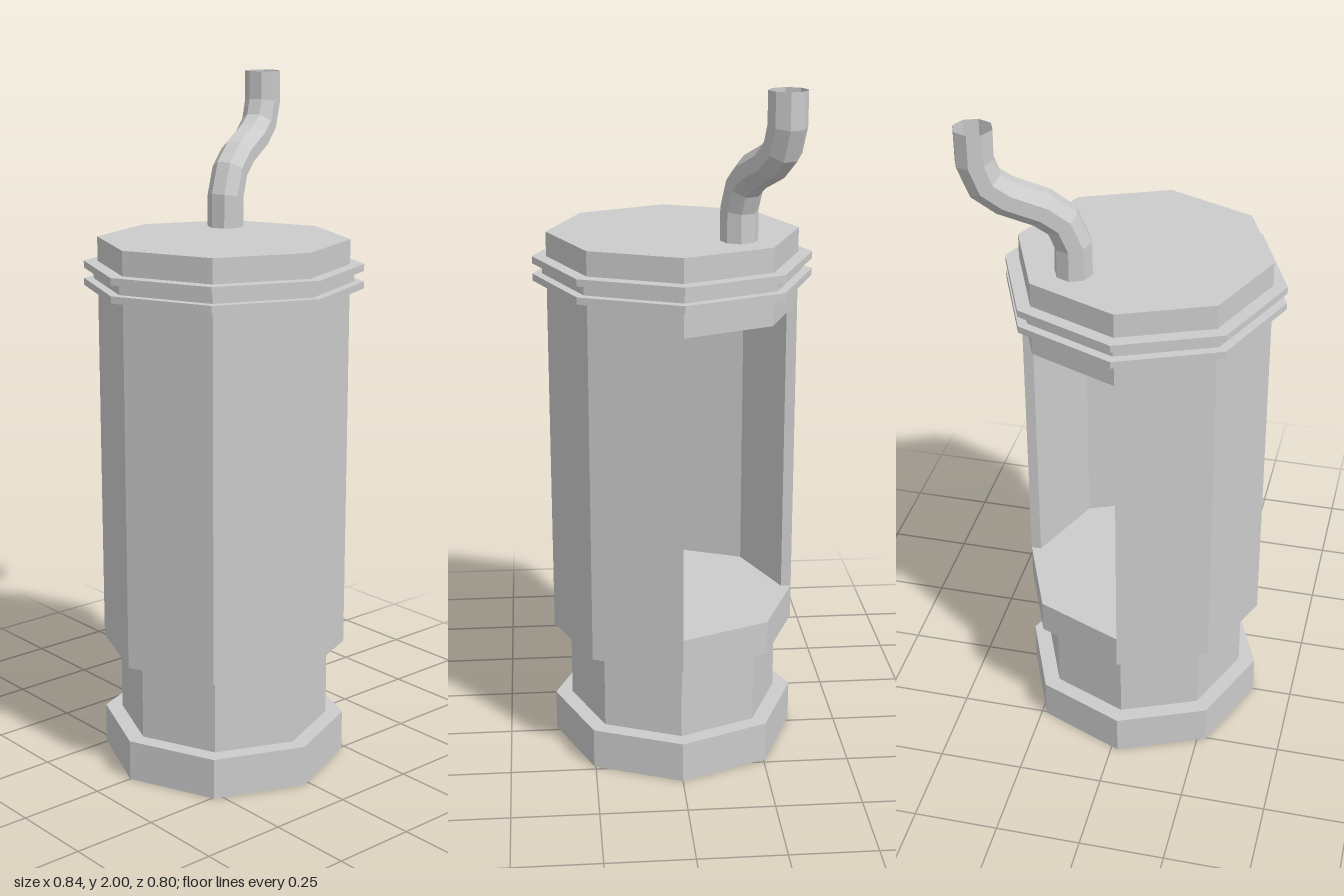
import * as THREE from 'three';

const SIDES = 8;
const material = new THREE.MeshStandardMaterial({ color: 0xcccccc, flatShading: true, side: THREE.DoubleSide });

function addPart(group, name, geometry) {
  const mesh = new THREE.Mesh(geometry, material);
  mesh.name = name;
  group.add(mesh);
  return mesh;
}

// Eight-sided turned shell from [radius, height] pairs, bottom to top
const turned = (profile) =>
  new THREE.LatheGeometry(profile.map(([r, y]) => new THREE.Vector2(r, y)), SIDES);

// Polyline path whose corners are mitred by averaging the neighbouring directions
class BentPath extends THREE.Curve {
  constructor(points) {
    super();
    this.points = points;
  }
  index(u) {
    return Math.round(u * (this.points.length - 1));
  }
  getPoint(u, target = new THREE.Vector3()) {
    return target.copy(this.points[this.index(u)]);
  }
  getPointAt(u, target) {
    return this.getPoint(u, target);
  }
  getTangentAt(u, target = new THREE.Vector3()) {
    const p = this.points, i = this.index(u), here = p[i];
    target.set(0, 0, 0);
    if (i > 0) target.add(here.clone().sub(p[i - 1]).normalize());
    if (i < p.length - 1) target.add(p[i + 1].clone().sub(here).normalize());
    return target.normalize();
  }
}

export function createModel() {
  const model = new THREE.Group();
  model.name = 'canister';

  const body = new THREE.Group();
  body.name = 'body';
  body.position.x = -0.02;
  model.add(body);

  // Hollow foot, neck and lower band, closed by the chamber floor
  addPart(body, 'base', turned([
    [0.36, 0], [0.36, 0.12], [0.31, 0.12], [0.31, 0.35],
    [0.36, 0.35], [0.36, 0.45], [0, 0.45],
  ]));

  // Chamber wall: three quarters of an octagonal ring, open at the back left
  const outer = [], inner = [];
  for (let i = 2; i <= SIDES; i++) {
    const a = (i / SIDES) * Math.PI * 2;
    outer.push(new THREE.Vector2(0.36 * Math.cos(a), 0.36 * Math.sin(a)));
    inner.unshift(new THREE.Vector2(0.33 * Math.cos(a), 0.33 * Math.sin(a)));
  }
  const wall = new THREE.ExtrudeGeometry(new THREE.Shape([...outer, ...inner]), {
    depth: 0.89, bevelEnabled: false,
  });
  wall.rotateX(-Math.PI / 2);
  addPart(body, 'chamberWall', wall).position.y = 0.45;

  // Chamber ceiling, double collar and lid
  addPart(body, 'lid', turned([
    [0, 1.34], [0.36, 1.34], [0.36, 1.42], [0.4, 1.42], [0.4, 1.44], [0.372, 1.44],
    [0.372, 1.47], [0.4, 1.47], [0.4, 1.49], [0.36, 1.49], [0.36, 1.56], [0, 1.56],
  ]));

  // Bent open pipe: [distance along its lean, height]
  const start = new THREE.Vector3(0.135, 0, -0.17);
  const lean = new THREE.Vector3(0.23, 0, -0.095).normalize();
  const path = [
    [0, 1.54], [0, 1.65], [0.028, 1.72], [0.08, 1.762],
    [0.175, 1.805], [0.225, 1.845], [0.248, 1.91], [0.248, 2],
  ].map(([d, y]) => start.clone().addScaledVector(lean, d).setY(y));
  addPart(model, 'pipe', new THREE.TubeGeometry(new BentPath(path), path.length - 1, 0.053, SIDES));

  return model;
}
